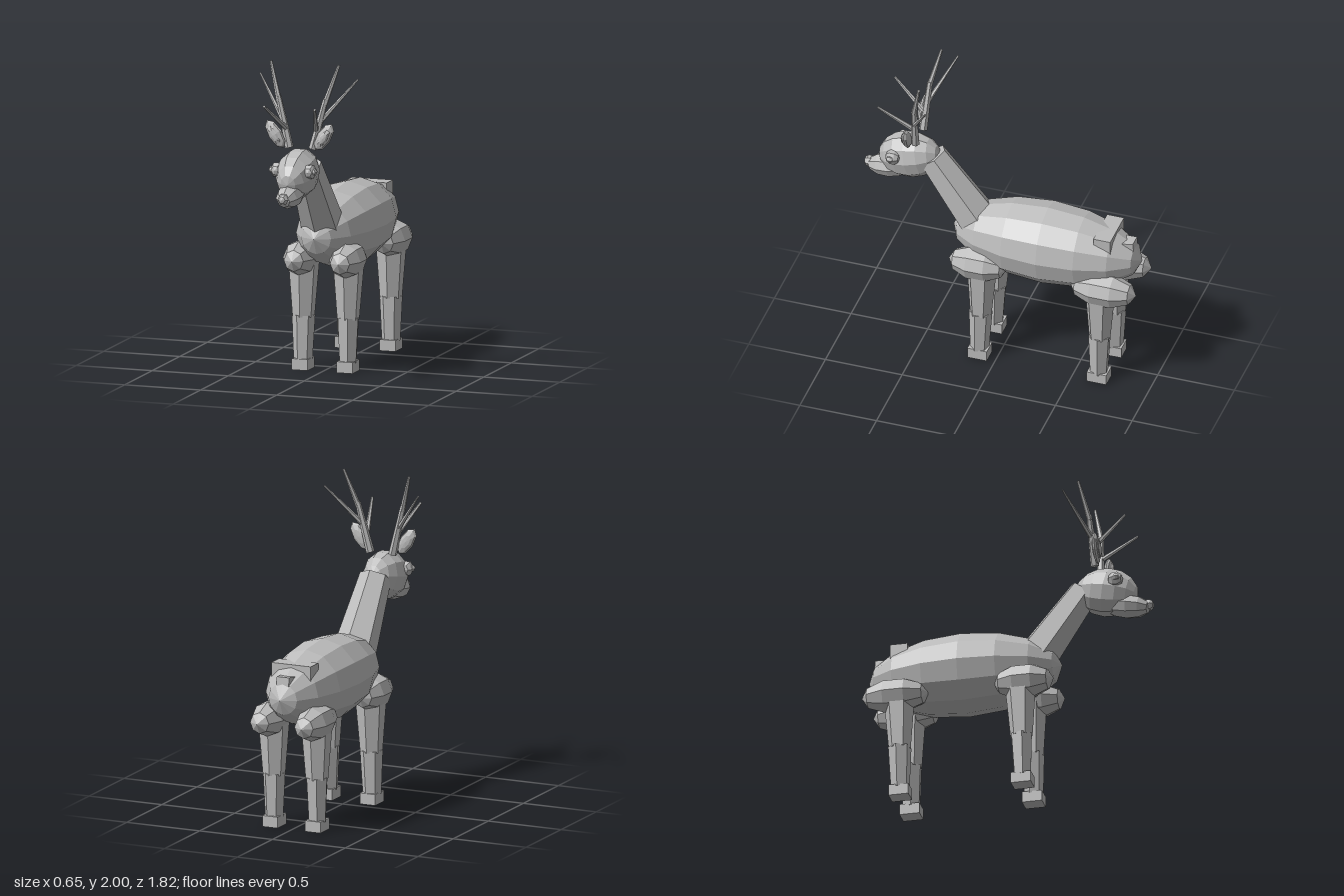
import * as THREE from 'three';

const grey = new THREE.MeshStandardMaterial({ color: 0xbcbcbc });
grey.name = 'plain grey';

const V = (x, y, z) => new THREE.Vector3(x, y, z);

// faceted mesh with one normal per face
function part(name, geometry) {
  const g = geometry.index ? geometry.toNonIndexed() : geometry;
  g.computeVertexNormals();
  const mesh = new THREE.Mesh(g, grey);
  mesh.name = name;
  return mesh;
}

// ellipsoid whose poles lie along z
function ellipsoid(name, center, radii, w, h, tiltX = 0, tiltZ = 0) {
  const g = new THREE.SphereGeometry(1, w, h).rotateX(Math.PI / 2).scale(...radii);
  const mesh = part(name, g);
  mesh.position.copy(center);
  mesh.rotation.set(tiltX, 0, tiltZ);
  return mesh;
}

// tapered prism between two points
function limb(name, a, b, ra, rb, sides = 6) {
  const d = b.clone().sub(a);
  const mesh = part(name, new THREE.CylinderGeometry(rb, ra, d.length(), sides));
  mesh.position.copy(a).add(b).multiplyScalar(0.5);
  mesh.quaternion.setFromUnitVectors(V(0, 1, 0), d.normalize());
  return mesh;
}

function box(name, center, size) {
  const mesh = part(name, new THREE.BoxGeometry(...size));
  mesh.position.copy(center);
  return mesh;
}

function leg(name, s, thighY, thighZ, thighLen, topZ, footZ) {
  const g = new THREE.Group();
  g.name = name;
  const knee = V(s * 0.147, 0.33, (topZ + footZ) / 2);
  g.add(
    ellipsoid('thigh', V(s * 0.152, thighY, thighZ), [0.109, 0.114, thighLen], 8, 5),
    limb('upperLeg', V(s * 0.147, 0.68, topZ), knee, 0.098, 0.07),
    limb('lowerLeg', V(s * 0.147, 0.34, knee.z), V(s * 0.148, 0.06, footZ), 0.073, 0.059),
    box('hoof', V(s * 0.147, 0.035, footZ), [0.105, 0.07, 0.127])
  );
  return g;
}

function antler(s) {
  const g = new THREE.Group();
  g.name = s > 0 ? 'leftAntler' : 'rightAntler';
  g.add(
    limb('beam', V(s * 0.077, 1.475, 0.555), V(s * 0.155, 1.79, 0.537), 0.027, 0.017),
    limb('beamTip', V(s * 0.15, 1.76, 0.54), V(s * 0.224, 2.0, 0.484), 0.018, 0.009),
    limb('rearTine', V(s * 0.125, 1.65, 0.545), V(s * 0.322, 1.903, 0.408), 0.016, 0.006),
    limb('frontTine', V(s * 0.1, 1.6, 0.56), V(s * 0.166, 1.765, 0.77), 0.017, 0.008)
  );
  return g;
}

export function createModel() {
  const model = new THREE.Group();
  model.name = 'deer';

  // trunk and neck
  model.add(
    ellipsoid('body', V(0, 0.86, -0.285), [0.256, 0.262, 0.615], 12, 8),
    limb('neck', V(0, 0.94, 0.175), V(0, 1.345, 0.47), 0.135, 0.1)
  );

  // head, muzzle and nose
  model.add(
    ellipsoid('head', V(0, 1.325, 0.615), [0.128, 0.155, 0.2], 10, 8, 0.2),
    ellipsoid('muzzle', V(0, 1.215, 0.745), [0.082, 0.077, 0.15], 8, 6, 0.15),
    ellipsoid('nose', V(0, 1.21, 0.88), [0.036, 0.038, 0.033], 6, 5)
  );

  // paired parts
  for (const s of [1, -1]) {
    const side = s > 0 ? 'left' : 'right';
    model.add(
      leg(side + 'FrontLeg', s, 0.705, 0.12, 0.19, 0.098, 0.112),
      leg(side + 'BackLeg', s, 0.695, -0.695, 0.215, -0.673, -0.667),
      ellipsoid(side + 'Eye', V(s * 0.107, 1.358, 0.692), [0.046, 0.05, 0.048], 6, 5),
      ellipsoid(side + 'Pupil', V(s * 0.138, 1.36, 0.7), [0.022, 0.024, 0.026], 6, 4),
      ellipsoid(side + 'Ear', V(s * 0.16, 1.56, 0.583), [0.047, 0.1, 0.025], 8, 6, 0, -s * 0.58),
      ellipsoid(side + 'InnerEar', V(s * 0.163, 1.555, 0.6), [0.028, 0.07, 0.017], 6, 5, 0, -s * 0.58),
      antler(s)
    );
  }

  // rump patch, showing through the back
  model.add(box('rumpPatch', V(0, 1.007, -0.68), [0.27, 0.095, 0.11]));

  // tail stub, narrower towards its end
  const tail = new THREE.BoxGeometry(0.12, 0.075, 0.16);
  const p = tail.attributes.position;
  for (let i = 0; i < p.count; i++) if (p.getZ(i) < 0) p.setX(i, p.getX(i) * 0.7);
  const tailMesh = part('tail', tail);
  tailMesh.position.set(0, 0.955, -0.775);
  tailMesh.rotation.x = 0.1;
  model.add(tailMesh);

  return model;
}
